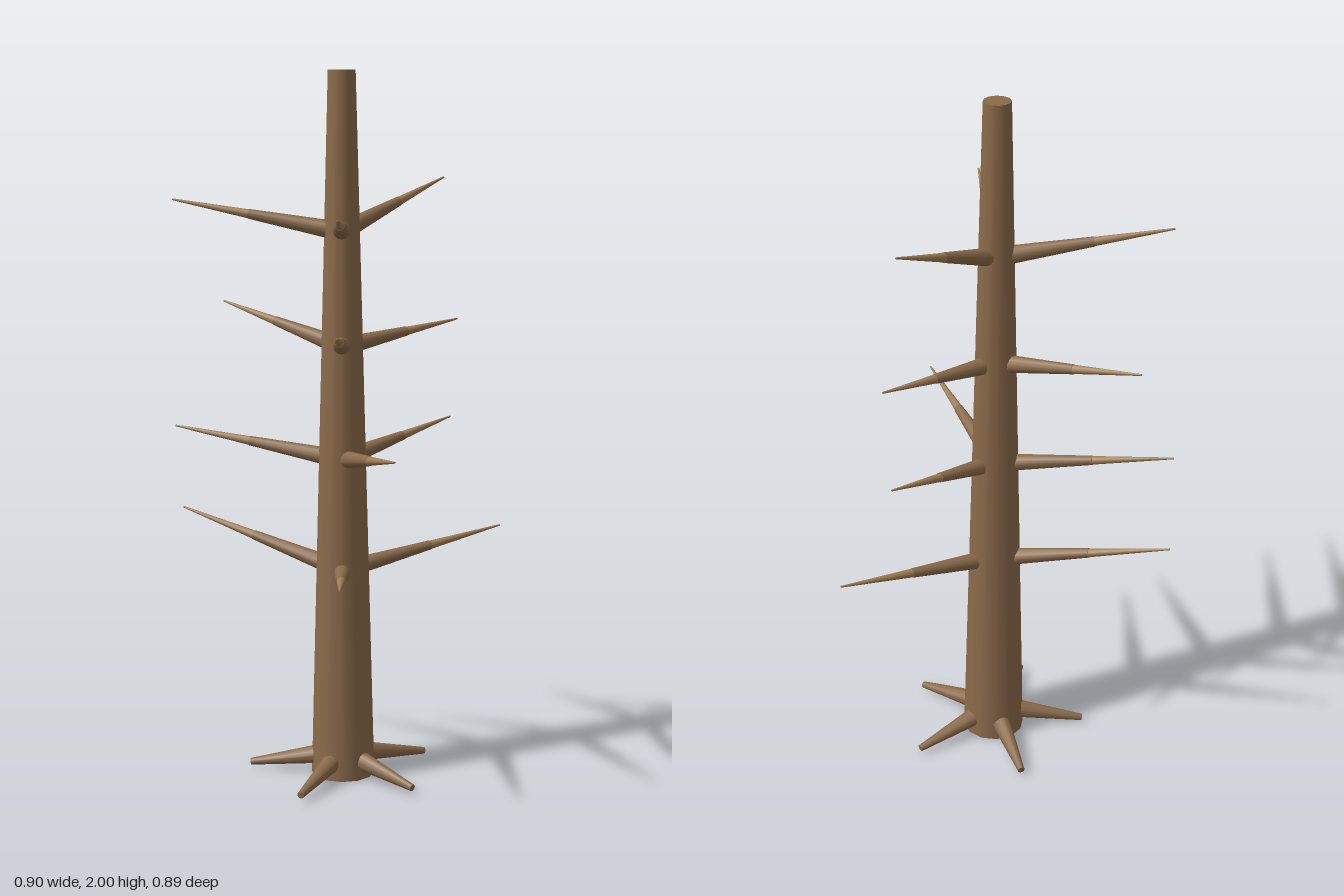
import * as THREE from 'three';

const AXIS = { x: -0.065, z: -0.02 };

export function createModel() {
  const tree = new THREE.Group();
  tree.name = 'bareTree';
  const bark = new THREE.MeshStandardMaterial({ color: 0x8b6b4a });
  const twigWood = new THREE.MeshStandardMaterial({ color: 0xa07e55 });
  const up = new THREE.Vector3(0, 1, 0);

  // Tapered limb between two points
  function limb(name, from, to, r0, r1, material, parent = tree) {
    const dir = to.clone().sub(from);
    const mesh = new THREE.Mesh(new THREE.CylinderGeometry(r1, r0, dir.length(), 12), material);
    mesh.name = name;
    mesh.position.copy(from).lerp(to, 0.5);
    mesh.quaternion.setFromUnitVectors(up, dir.normalize());
    parent.add(mesh);
  }
  const onAxis = (y) => new THREE.Vector3(AXIS.x, y, AXIS.z);

  // Trunk
  limb('trunk', onAxis(0), onAxis(2), 0.09, 0.038, bark);

  // Five short roots, evenly spread
  for (let i = 0; i < 5; i++) {
    const a = (i / 5) * Math.PI * 2;
    const tip = onAxis(0.018).add(new THREE.Vector3(0.27 * Math.cos(a), 0, 0.27 * Math.sin(a)));
    limb('root', onAxis(0.062), tip, 0.034, 0.01, bark);
  }

  // Four whorls of three branches: start height, then the tips
  const whorls = [
    [0.6, [[0.445, 0.68, 0.005], [-0.37, 0.735, -0.44], [-0.29, 0.66, 0.385]]],
    [0.92, [[0.33, 1.0, -0.09], [-0.415, 0.99, -0.385], [-0.16, 1.0, 0.445]]],
    [1.24, [[0.335, 1.29, -0.065], [-0.23, 1.335, -0.445], [-0.3, 1.325, 0.39]]],
    [1.56, [[0.32, 1.695, -0.12], [-0.45, 1.645, -0.3], [-0.295, 1.625, 0.387]]],
  ];
  for (const [y, tips] of whorls) {
    for (const t of tips) {
      const branch = new THREE.Group();
      branch.name = 'branch';
      const start = onAxis(y), end = new THREE.Vector3(...t);
      const joint = start.clone().lerp(end, 0.55);
      limb('branchBase', start, joint, 0.027, 0.0135, bark, branch);
      limb('branchTip', joint, end, 0.0125, 0.0025, twigWood, branch);
      tree.add(branch);
    }
  }
  return tree;
}
